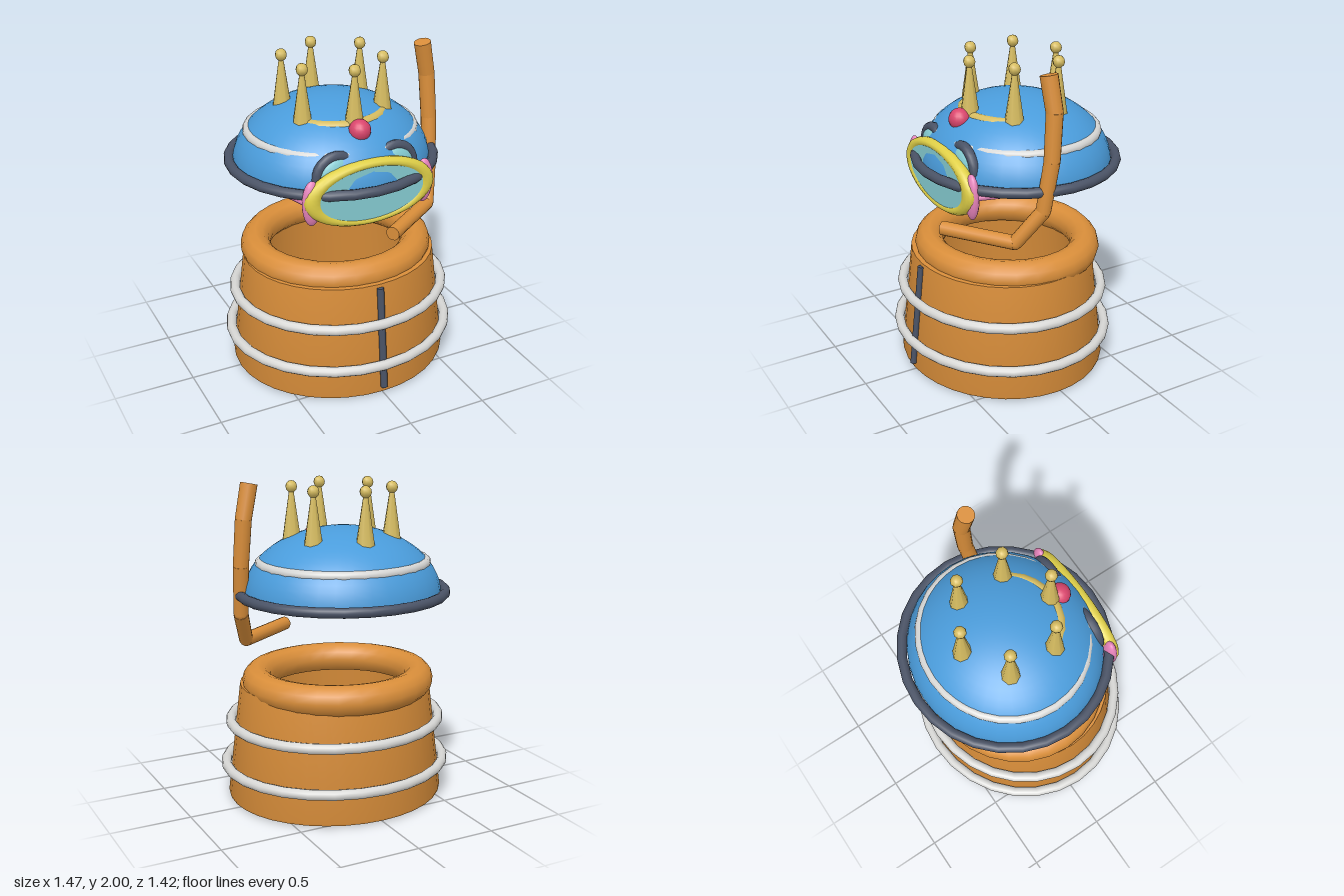
import * as THREE from 'three';
import { toCreasedNormals } from 'three/addons/utils/BufferGeometryUtils.js';

const V = (x, y, z) => new THREE.Vector3(x, y, z);

export function createModel() {
  const root = new THREE.Group();
  const mat = (name, color) => {
    const m = new THREE.MeshStandardMaterial({ color });
    m.name = name;
    return m;
  };
  const orange = mat('orange', 0xd98e3a);
  const blue = mat('blue', 0x4a9cdb);
  blue.side = THREE.DoubleSide;
  const white = mat('off white', 0xd6d6d4);
  const slate = mat('slate', 0x4a5366);
  const yellow = mat('yellow', 0xe0d048);
  const gold = mat('gold', 0xd6bc60);
  const red = mat('red', 0xd9456c);
  const pink = mat('pink', 0xe884bc);
  const cyan = mat('cyan', 0x86cdd3);

  const add = (name, geo, material, pos = [0, 0, 0], scale = [1, 1, 1], parent = root) => {
    const m = new THREE.Mesh(geo, material);
    m.name = name;
    m.position.set(...pos);
    m.scale.set(...scale);
    parent.add(m);
    return m;
  };
  // Horizontal hoop, squeezed in depth
  const hoop = (name, R, r, material, y, z, depth, parent) =>
    add(name, new THREE.TorusGeometry(R, r, 12, 28).rotateX(Math.PI / 2), material, [0, y, z], [1, 1, depth], parent);
  // Straight round rod between two points
  const rod = (name, a, b, r0, r1, material, parent, sides = 14) => {
    const m = add(name, new THREE.CylinderGeometry(r1, r0, a.distanceTo(b), sides), material,
      a.clone().add(b).multiplyScalar(0.5).toArray(), [1, 1, 1], parent);
    m.quaternion.setFromUnitVectors(V(0, 1, 0), b.clone().sub(a).normalize());
    return m;
  };
  const group = (name) => {
    const g = new THREE.Group();
    g.name = name;
    root.add(g);
    return g;
  };

  // Barrel body: thick walled and open at both ends
  const body = group('body');
  const wall = [[0.5, 0.73], [0.59, 0], [0.685, 0.01], [0.69, 0.025], [0.605, 0.73], [0.5, 0.73]]
    .map(([x, y]) => new THREE.Vector2(x, y));
  add('barrel', toCreasedNormals(new THREE.LatheGeometry(wall, 36), 0.6), orange,
    [0, 0, 0.03], [1, 1, 0.92], body);
  hoop('collar', 0.51, 0.095, orange, 0.75, -0.01, 0.945, body);
  hoop('lowerHoop', 0.703, 0.032, white, 0.215, 0.03, 0.925, body);
  hoop('upperHoop', 0.668, 0.032, white, 0.49, 0.03, 0.93, body);
  rod('frontZip', V(0, 0.05, 0.67), V(0, 0.71, 0.595), 0.022, 0.022, slate, body, 6);

  // Hollow dome cap with its bands
  const cap = group('cap');
  add('dome', new THREE.SphereGeometry(1, 36, 16, 0, Math.PI * 2, 0, Math.PI / 2), blue,
    [0, 1.3, -0.07], [0.61, 0.415, 0.575], cap);
  hoop('brim', 0.633, 0.031, slate, 1.32, -0.07, 0.963, cap);
  hoop('capBand', 0.51, 0.031, white, 1.5, -0.08, 0.93, cap);

  // Crown: ring, six spikes with ball tips, front gem
  const crown = group('crown');
  hoop('crownRing', 0.3, 0.037, gold, 1.617, -0.055, 1, crown);
  for (let i = 0; i < 6; i++) {
    const a = i * Math.PI / 3;
    const x = 0.302 * Math.sin(a), z = -0.057 + 0.297 * Math.cos(a);
    add('crownSpike', new THREE.CylinderGeometry(0.014, 0.061, 0.31, 8), gold, [x, 1.772, z], [1, 1, 1], crown);
    add('crownBall', new THREE.SphereGeometry(0.037, 8, 6), gold, [x, 1.948, z], [1, 1, 1], crown);
  }
  add('gem', new THREE.SphereGeometry(0.066, 16, 12), red, [0, 1.61, 0.31], [1, 1, 1], crown);

  // Goggles: wide mask, two eye pieces, side pads and straps
  const goggles = group('goggles');
  add('maskFrame', new THREE.TorusGeometry(0.26, 0.04, 12, 40), yellow,
    [0, 1.282, 0.447], [1.4, 0.683, 1], goggles);
  add('maskLens', new THREE.CylinderGeometry(1, 1, 0.03, 40).rotateX(Math.PI / 2), cyan,
    [0, 1.282, 0.466], [0.37, 0.18, 1], goggles);
  for (const s of [-1, 1]) {
    add('eyeRing', new THREE.TorusGeometry(0.125, 0.03, 10, 24), slate, [s * 0.188, 1.388, 0.385], [1, 1, 1], goggles);
    add('eyeLens', new THREE.SphereGeometry(1, 20, 12), cyan, [s * 0.188, 1.388, 0.39], [0.125, 0.125, 0.052], goggles);
    add('sidePad', new THREE.SphereGeometry(1, 16, 12), pink, [s * 0.365, 1.272, 0.432], [0.06, 0.14, 0.038], goggles);
    rod('strap', V(s * 0.4, 1.28, 0.42), V(s * 0.6, 1.31, -0.08), 0.02, 0.02, pink, goggles, 8);
  }

  // Snorkel: jointed straight pipes
  const snorkel = group('snorkel');
  const path = [
    [V(0.125, 1.0, 0.505), 0.043], [V(0.515, 1.0, 0.235), 0.043], [V(0.6, 1.2, 0.1), 0.045],
    [V(0.612, 1.5, 0.055), 0.048], [V(0.598, 1.78, 0.035), 0.05], [V(0.553, 1.985, 0.048), 0.052],
  ];
  for (let i = 0; i < path.length - 1; i++) {
    rod('snorkelPipe', path[i][0], path[i + 1][0], path[i][1], path[i + 1][1], orange, snorkel);
    if (i) add('snorkelJoint', new THREE.SphereGeometry(path[i][1] * 0.97, 12, 8), orange,
      path[i][0].toArray(), [1, 1, 1], snorkel);
  }
  return root;
}
